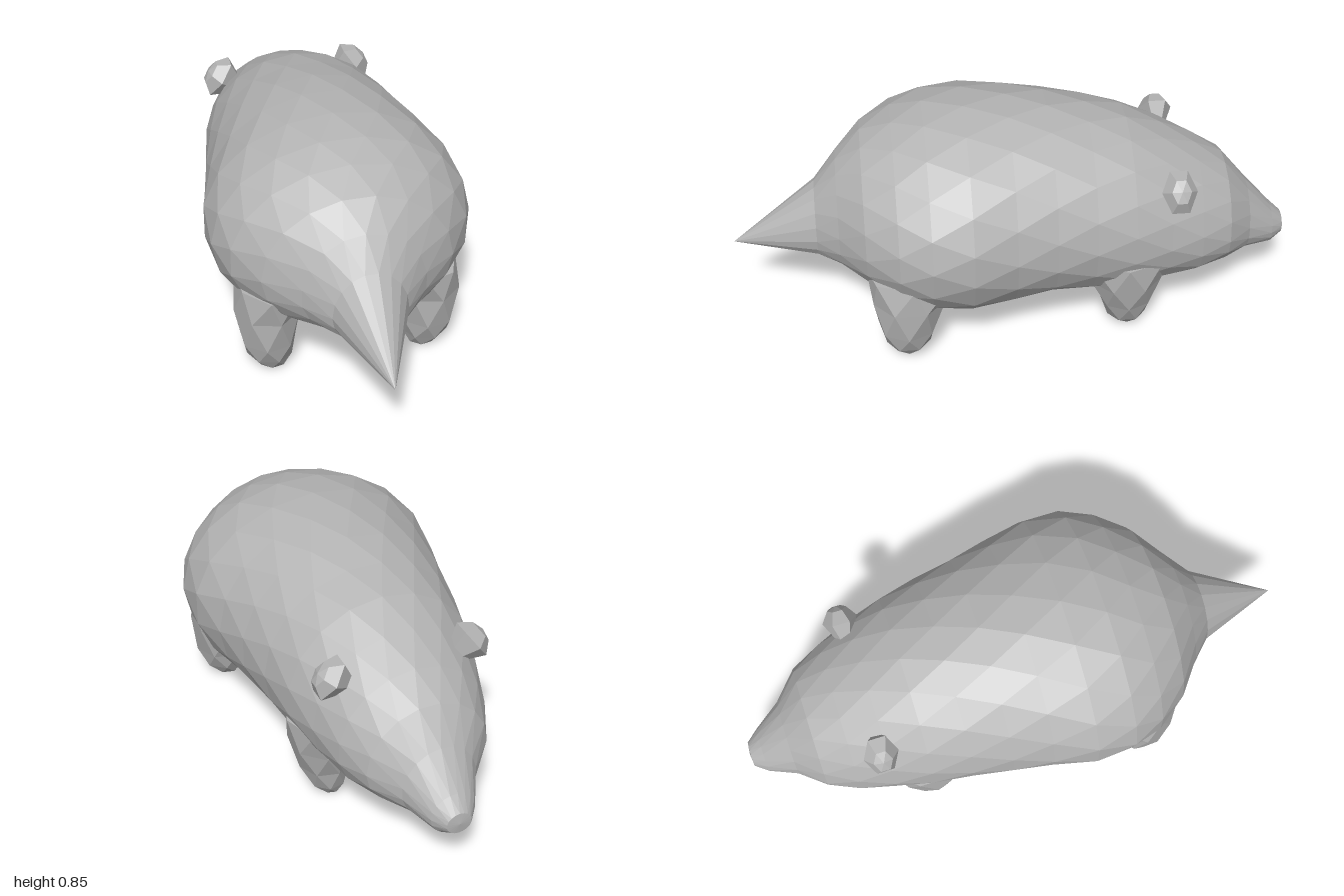
import * as THREE from 'three';

// Skin over rings of points, every second ring turned half a step; both ends close on a point
function loft(rings, start, end) {
  const n = rings[0].length, pos = [];
  const tri = (...pts) => pts.forEach((p) => pos.push(...p));
  for (let j = 0; j < n; j++) {
    const k = (j + 1) % n;
    tri(start, rings[0][j], rings[0][k]);
    for (let i = 0; i < rings.length - 1; i++) {
      const a = rings[i][j], b = rings[i][k], c = rings[i + 1][j], d = rings[i + 1][k];
      if (i % 2 === 0) { tri(a, c, b); tri(b, c, d); } else { tri(a, d, b); tri(a, c, d); }
    }
    const last = rings[rings.length - 1];
    tri(last[j], end, last[k]);
  }
  const g = new THREE.BufferGeometry();
  g.setAttribute('position', new THREE.Float32BufferAttribute(pos, 3));
  g.computeVertexNormals();
  return g;
}

const ring = (n, i, at) => Array.from({ length: n }, (_, j) => {
  const t = ((j + (i % 2) / 2) / n) * Math.PI * 2;
  return at(Math.cos(t), Math.sin(t));
});

export function createModel() {
  const model = new THREE.Group();
  const grey = new THREE.MeshStandardMaterial({ color: 0xb4b4b4, flatShading: true });
  grey.name = 'grey';
  const add = (name, geometry) => {
    const mesh = new THREE.Mesh(geometry, grey);
    mesh.name = name;
    model.add(mesh);
    return mesh;
  };

  // Body from pointed tail to snout: z, half width, bottom, widest height, top
  const sections = [
    [0.70, 0.13, 0.28, 0.40, 0.56],
    [0.62, 0.215, 0.265, 0.43, 0.66],
    [0.53, 0.33, 0.225, 0.46, 0.745],
    [0.42, 0.415, 0.165, 0.47, 0.80],
    [0.31, 0.455, 0.12, 0.48, 0.835],
    [0.17, 0.46, 0.098, 0.48, 0.85],
    [0.02, 0.425, 0.12, 0.47, 0.848],
    [-0.12, 0.397, 0.14, 0.46, 0.833],
    [-0.26, 0.37, 0.125, 0.45, 0.803],
    [-0.40, 0.345, 0.12, 0.43, 0.765],
    [-0.53, 0.31, 0.14, 0.40, 0.705],
    [-0.65, 0.272, 0.15, 0.37, 0.64],
    [-0.76, 0.22, 0.18, 0.35, 0.57],
    [-0.85, 0.135, 0.19, 0.31, 0.46],
    [-0.95, 0.08, 0.19, 0.265, 0.345],
    [-0.995, 0.045, 0.22, 0.258, 0.3],
  ];
  const bodyRings = sections.map(([z, w, bottom, mid, top], i) => ring(18, i, (c, s) =>
    [w * c, mid + s * (s > 0 ? top - mid : mid - bottom), z]));
  add('body', loft(bodyRings, [0, 0.325, 1], [0, 0.26, -1]));

  // Stubby legs: x, y, z, half size in x, half size in z
  const frontLeg = [
    [0.27, 0.36, 0.37, 0.12, 0.17],
    [0.285, 0.25, 0.39, 0.115, 0.13],
    [0.285, 0.13, 0.40, 0.1, 0.105],
    [0.28, 0.06, 0.40, 0.08, 0.08],
    [0.27, 0.015, 0.40, 0.05, 0.05],
  ];
  const backLeg = [
    [0.22, 0.34, -0.38, 0.12, 0.16],
    [0.22, 0.23, -0.385, 0.11, 0.13],
    [0.21, 0.13, -0.39, 0.09, 0.095],
    [0.20, 0.05, -0.395, 0.065, 0.07],
    [0.19, 0.01, -0.40, 0.035, 0.04],
  ];
  for (const side of [1, -1]) {
    const label = side > 0 ? 'left' : 'right';
    for (const [name, leg] of [['FrontLeg', frontLeg], ['BackLeg', backLeg]]) {
      const rings = leg.map(([x, y, z, rx, rz], i) =>
        ring(7, i, (c, s) => [side * x + rx * c, y, z - rz * s]));
      const [tx, ty, tz] = leg[0], [fx, , fz] = leg[4];
      add(label + name, loft(rings, [side * tx, ty, tz], [side * fx, 0.002, fz]));
    }

    // Small faceted ears leaning outward
    const profile = [[0, -0.08], [0.04, -0.03], [0.073, 0.03], [0.04, 0.07], [0, 0.08]];
    const ear = add(label + 'Ear', new THREE.LatheGeometry(
      profile.map(([r, y]) => new THREE.Vector2(r, y)), 6));
    ear.position.set(side * 0.235, 0.6, -0.552);
    ear.rotation.z = -side * 0.95;
    ear.scale.set(1.15, 1, 0.85);
  }
  return model;
}
